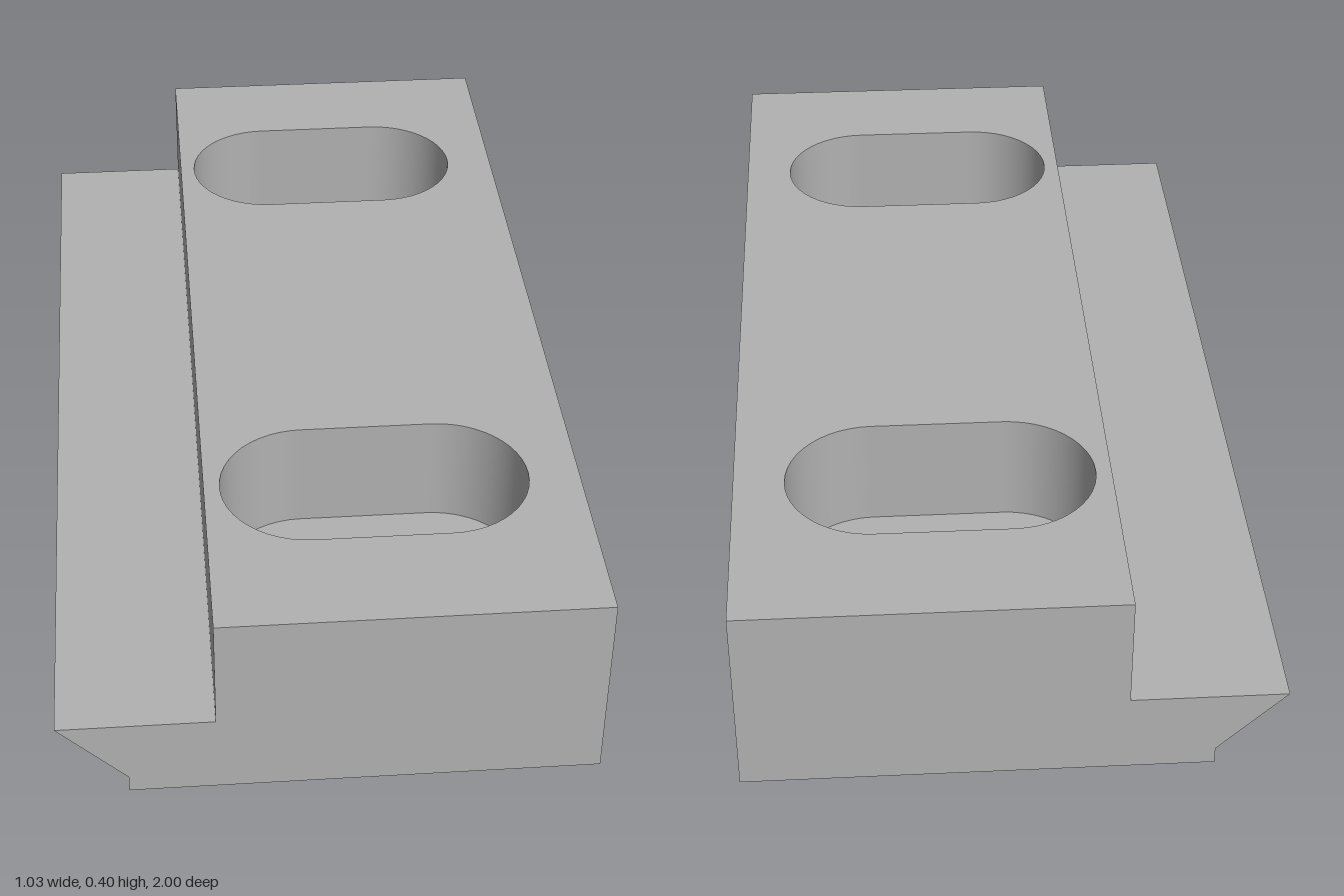
import * as THREE from 'three';

const LENGTH = 2, TOP = 0.4, RIGHT = 0.515, LEDGE = 0.17;
const SLOT_X = 0.115, SLOT_Z = 0.6, HALF_STRAIGHT = 0.131;
const BORE_R = 0.083, BORE_Y = 0.2, BORE_DEPTH = 0.32;

// Dovetail cross-section, counter-clockwise seen from the front
const PROFILE = [
  [-0.383, 0], [RIGHT, 0], [RIGHT, TOP], [-0.217, TOP],
  [-0.217, 0.167], [-0.515, 0.167], [-0.383, 0.035],
].map(([x, y]) => new THREE.Vector2(x, y));

// Round-ended slot outline, with its radial directions
function slotOutline(r) {
  const n = 24, points = [], dirs = [];
  for (const [start, side] of [[-Math.PI / 2, 1], [Math.PI / 2, -1]]) {
    for (let i = 0; i <= n; i++) {
      const a = start + (Math.PI * i) / n;
      const d = new THREE.Vector2(Math.cos(a), Math.sin(a));
      dirs.push(d);
      points.push(new THREE.Vector2(d.x * r + side * HALF_STRAIGHT, d.y * r));
    }
  }
  return { points, dirs };
}

const movedPath = (points, u, v) =>
  new THREE.Path(points.map((p) => new THREE.Vector2(p.x + u, p.y + v)));

// Inward-facing slot wall between two heights
function slotWall({ points, dirs }, y0, y1) {
  const pos = [], nor = [], idx = [], n = points.length;
  for (let i = 0; i < n; i++) {
    for (const y of [y0, y1]) {
      pos.push(points[i].x, y, points[i].y);
      nor.push(-dirs[i].x, 0, -dirs[i].y);
    }
    const a = 2 * i, b = 2 * ((i + 1) % n);
    idx.push(a, b, a + 1, b, b + 1, a + 1);
  }
  const g = new THREE.BufferGeometry();
  g.setAttribute('position', new THREE.Float32BufferAttribute(pos, 3));
  g.setAttribute('normal', new THREE.Float32BufferAttribute(nor, 3));
  g.setIndex(idx);
  return g;
}

// Long face along one profile edge; u runs along the edge, v along z
function edgeFace(a, b, holes) {
  const len = a.distanceTo(b), h = LENGTH / 2;
  const shape = new THREE.Shape([[0, -h], [len, -h], [len, h], [0, h]]
    .map(([u, v]) => new THREE.Vector2(u, v)));
  shape.holes = holes;
  const t = b.clone().sub(a).normalize();
  const m = new THREE.Matrix4().makeBasis(
    new THREE.Vector3(t.x, t.y, 0),
    new THREE.Vector3(0, 0, 1),
    new THREE.Vector3(t.y, -t.x, 0),
  ).setPosition(a.x, a.y, 0);
  return new THREE.ShapeGeometry(shape).applyMatrix4(m);
}

export function createModel() {
  const model = new THREE.Group();
  model.name = 'dovetailClampBlock';
  const steel = new THREE.MeshStandardMaterial({ color: 0xb2b2b2 });
  steel.name = 'plain grey';
  steel.side = THREE.DoubleSide;
  const add = (name, geometry, parent = model) => {
    const mesh = new THREE.Mesh(geometry, steel);
    mesh.name = name;
    parent.add(mesh);
    return mesh;
  };

  const inner = slotOutline(0.0925), outer = slotOutline(0.17);

  // Long faces, with the slot and bore openings
  const circle = new THREE.Path().absarc(BORE_Y, 0, BORE_R, 0, Math.PI * 2);
  const openings = {
    0: [-1, 1].map((s) => movedPath(inner.points, SLOT_X - PROFILE[0].x, s * SLOT_Z)),
    1: [new THREE.Path(circle.getPoints(48).slice(0, -1))],
    2: [-1, 1].map((s) => movedPath(outer.points, RIGHT - SLOT_X, s * SLOT_Z)),
  };
  const names = ['bottomFace', 'sideFace', 'topFace', 'stepWall',
    'stepFace', 'dovetailSlope', 'dovetailFoot'];
  PROFILE.forEach((p, i) => {
    add(names[i], edgeFace(p, PROFILE[(i + 1) % PROFILE.length], openings[i] ?? []));
  });

  // End faces
  add('frontEnd', new THREE.ShapeGeometry(new THREE.Shape(PROFILE)))
    .position.z = LENGTH / 2;
  const mirrored = PROFILE.map((p) => new THREE.Vector2(-p.x, p.y)).reverse();
  add('backEnd', new THREE.ShapeGeometry(new THREE.Shape(mirrored)).rotateY(Math.PI))
    .position.z = -LENGTH / 2;

  // Counterbored bolt slots
  const ring = new THREE.Shape(outer.points);
  ring.holes = [new THREE.Path(inner.points)];
  const ledge = new THREE.ShapeGeometry(ring).rotateX(-Math.PI / 2).translate(0, LEDGE, 0);
  for (const [name, z] of [['frontSlot', SLOT_Z], ['backSlot', -SLOT_Z]]) {
    const slot = new THREE.Group();
    slot.name = name;
    slot.position.set(SLOT_X, 0, z);
    add('throughWall', slotWall(inner, 0, LEDGE), slot);
    add('counterboreLedge', ledge, slot);
    add('counterboreWall', slotWall(outer, LEDGE, TOP), slot);
    model.add(slot);
  }

  // Drilled side hole with a conical end
  const bore = new THREE.Group();
  bore.name = 'sideBore';
  bore.position.set(RIGHT, BORE_Y, 0);
  bore.rotation.z = -Math.PI / 2;
  const lathe = (...pts) =>
    new THREE.LatheGeometry(pts.map(([r, y]) => new THREE.Vector2(r, y)), 48);
  add('boreWall', lathe([BORE_R, 0], [BORE_R, -BORE_DEPTH]), bore);
  add('boreTip', lathe([BORE_R, -BORE_DEPTH], [0, -BORE_DEPTH - 0.05]), bore);
  model.add(bore);

  return model;
}
